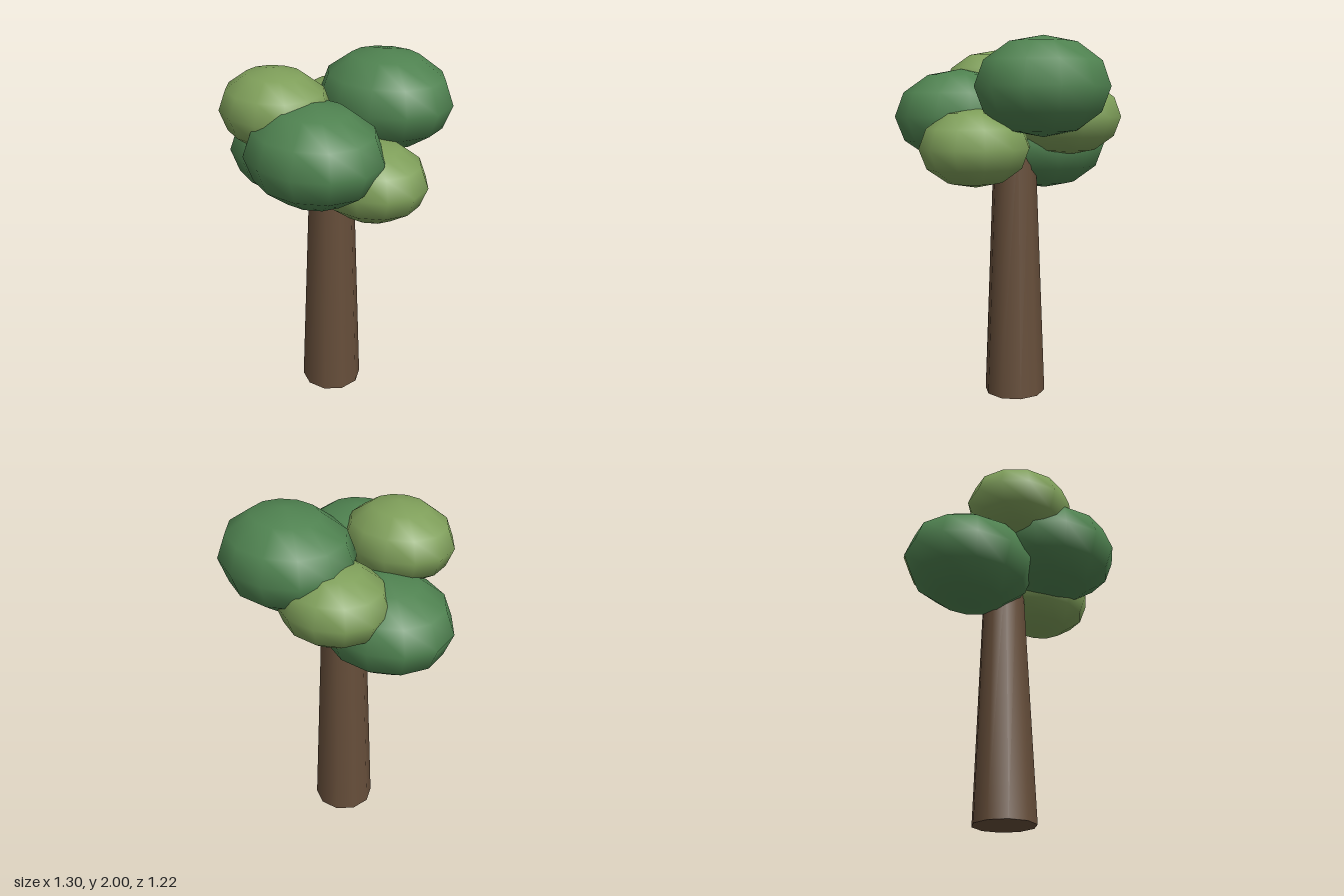
import * as THREE from 'three';

export function createModel() {
  const tree = new THREE.Group();
  tree.name = 'tree';

  const bark = new THREE.MeshStandardMaterial({ color: 0x664e3a });
  const darkLeaf = new THREE.MeshStandardMaterial({ color: 0x4f8250 });
  const lightLeaf = new THREE.MeshStandardMaterial({ color: 0x7f9f5a });

  // Tapered ten-sided trunk, its top hidden in the foliage
  const trunkHeight = 1.48;
  const trunk = new THREE.Mesh(
    new THREE.CylinderGeometry(0.115, 0.173, trunkHeight, 10), bark);
  trunk.name = 'trunk';
  trunk.position.set(0.03, trunkHeight / 2, 0.018);
  tree.add(trunk);

  // Flattened foliage clumps: large dark ones and smaller light ones
  const clump = new THREE.SphereGeometry(1, 12, 6);
  const darkSize = [0.388, 0.26, 0.336];
  const lightSize = [0.316, 0.21, 0.277];
  const clumps = [
    ['lowerRightFoliage', darkLeaf, darkSize, [-0.262, 1.42, 0.055]],
    ['frontLeftFoliage', darkLeaf, darkSize, [0.195, 1.58, 0.272]],
    ['topBackFoliage', darkLeaf, darkSize, [0.12, 1.74, -0.274]],
    ['topFrontFoliage', lightLeaf, lightSize, [-0.092, 1.743, 0.288]],
    ['lowerLeftFoliage', lightLeaf, lightSize, [0.334, 1.42, 0.013]],
    ['backRightFoliage', lightLeaf, lightSize, [-0.165, 1.58, -0.21]],
  ];
  for (const [name, material, size, position] of clumps) {
    const mesh = new THREE.Mesh(clump, material);
    mesh.name = name;
    mesh.scale.set(...size);
    mesh.position.set(...position);
    tree.add(mesh);
  }

  return tree;
}
